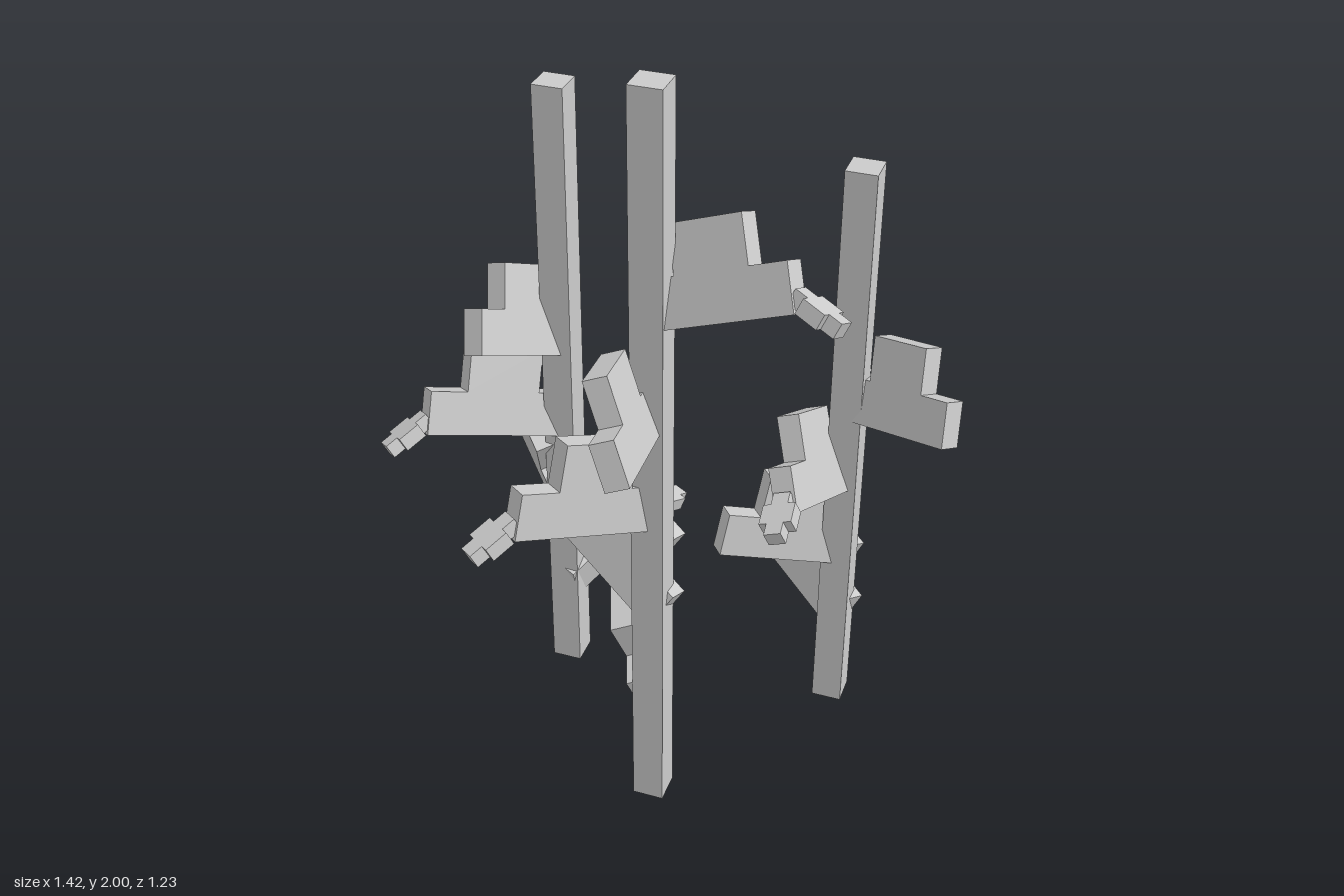
import * as THREE from 'three';

const DEG = Math.PI / 180;
const material = new THREE.MeshStandardMaterial({ color: 0xcccccc, flatShading: true });

// Extrudes a flat outline, centred on its thickness
function plate(points, thickness) {
  const shape = new THREE.Shape(points.map(([x, y]) => new THREE.Vector2(x, y)));
  const geometry = new THREE.ExtrudeGeometry(shape, { depth: thickness, bevelEnabled: false });
  return geometry.translate(0, 0, -thickness / 2);
}

function addMesh(parent, name, geometry) {
  const mesh = new THREE.Mesh(geometry, material);
  mesh.name = name;
  parent.add(mesh);
  return mesh;
}

// Stepped leaf blade: low, high, low along its length
function bladeGeometry(length) {
  const a = length * 0.25, b = length * 0.75, low = 0.115, high = 0.23;
  return plate([
    [0, 0], [length, 0], [length, low], [b, low],
    [b, high], [a, high], [a, low], [0, low],
  ], 0.058);
}

// Small cross-shaped leaf tip, lying flat and running along +x
function tipGeometry() {
  const l = 0.13, n = 0.022, w = 0.042, s = 0.035;
  return plate([
    [0, -n], [s, -n], [s, -w], [l - s, -w], [l - s, -n], [l, -n],
    [l, n], [l - s, n], [l - s, w], [s, w], [s, n], [0, n],
  ], 0.038).rotateX(-Math.PI / 2);
}

// dx, dz: heading; pitch and roll in degrees
function createLeaf([y, dx, dz, pitch, roll, length, hasTip]) {
  const leaf = new THREE.Group();
  leaf.name = 'leaf';
  leaf.position.y = y;
  leaf.rotation.set(roll * DEG, Math.atan2(-dz, dx), pitch * DEG, 'YZX');
  addMesh(leaf, 'leafBlade', bladeGeometry(length));
  if (hasTip) {
    const tip = addMesh(leaf, 'leafTip', tipGeometry());
    tip.position.set(length - 0.005, 0.04, 0);
    tip.rotation.z = -41 * DEG;
  }
  return leaf;
}

// Each leaf: height, heading x, heading z, pitch, roll, length, has tip
const STALKS = [
  { name: 'tallStalk', x: 0.07, z: 0.23, height: 2, leaves: [
    [0.557, -0.93, -0.37, 28, 20, 0.375, false],
    [1.40, 0.99, 0.13, 22, -23, 0.38, true],
    [0.28, -0.35, -0.94, 12, -20, 0.345, true],
    [0.86, -0.66, 0.75, 16, 8, 0.385, true],
    [1.135, 0.12, 0.99, 11, 20, 0.337, false],
  ] },
  { name: 'middleStalk', x: -0.335, z: -0.207, height: 1.76, leaves: [
    [0.75, -0.74, 0.67, 15, 18, 0.395, true],
    [0.215, 0.43, -0.9, 18, 12, 0.36, true],
    [0.995, -0.37, 0.93, 25, 20, 0.34, false],
    [0.49, -0.72, -0.69, 26, -15, 0.375, false],
  ] },
  { name: 'shortStalk', x: 0.41, z: -0.292, height: 1.62, leaves: [
    [0.23, -0.82, -0.57, 19, 20, 0.36, true],
    [0.915, 0.88, 0.48, 13, -18, 0.335, false],
    [0.69, -0.15, 0.99, 24, 22, 0.4, true],
    [0.46, -0.84, 0.54, 15, 10, 0.35, false],
  ] },
];

export function createModel() {
  const model = new THREE.Group();
  model.name = 'leafyStalks';
  for (const { name, x, z, height, leaves } of STALKS) {
    const plant = new THREE.Group();
    plant.name = name;
    plant.position.set(x, 0, z);
    // Square upright stem
    const stem = addMesh(plant, 'stem', new THREE.BoxGeometry(0.08, height, 0.08));
    stem.position.y = height / 2;
    leaves.forEach((leaf) => plant.add(createLeaf(leaf)));
    model.add(plant);
  }
  return model;
}
